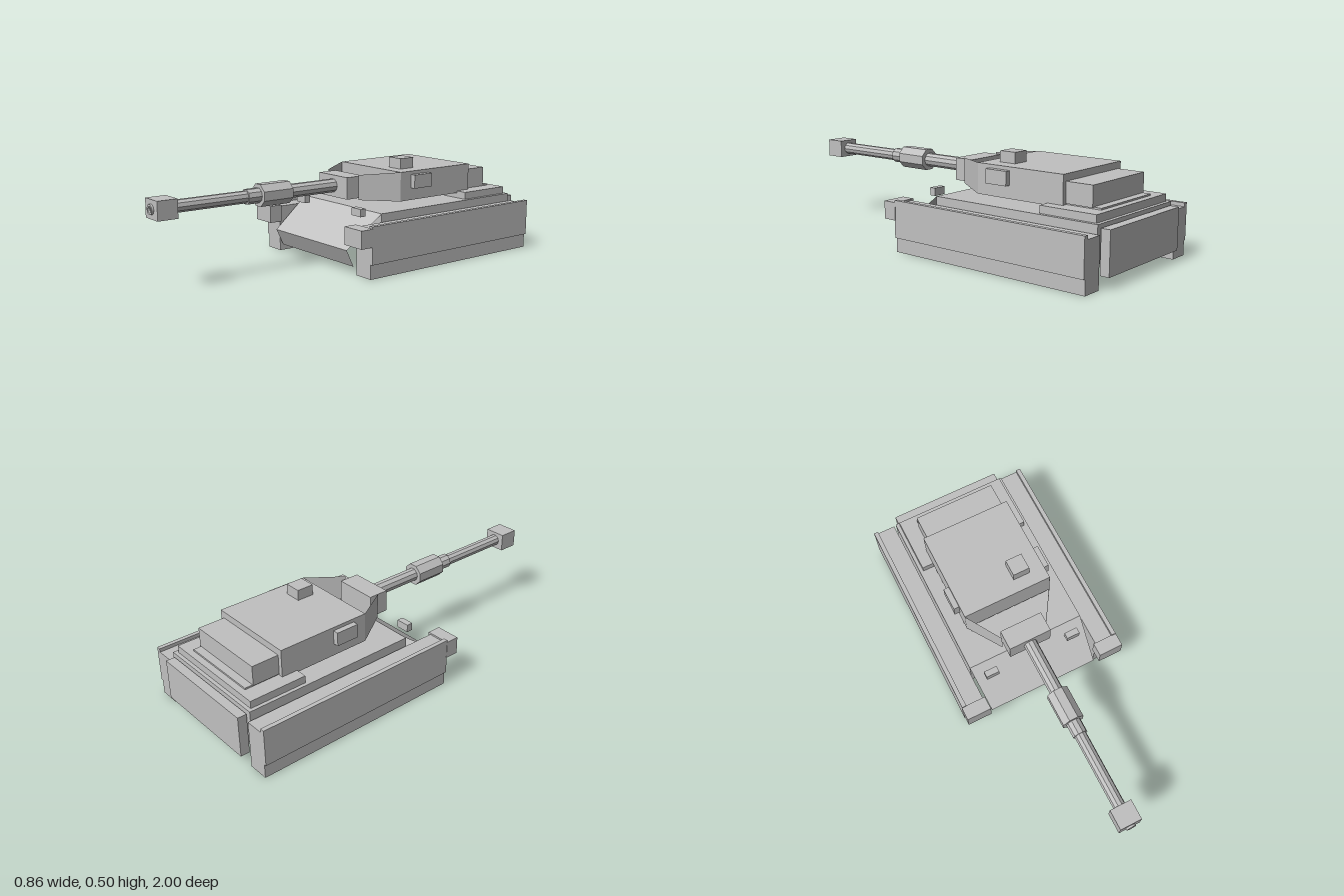
import * as THREE from 'three';

export function createModel() {
  const model = new THREE.Group();
  model.name = 'tank';
  const grey = new THREE.MeshStandardMaterial({ color: 0xc0c0c0, flatShading: true, side: THREE.DoubleSide });
  grey.name = 'grey';

  function add(name, geometry) {
    const mesh = new THREE.Mesh(geometry, grey);
    mesh.name = name;
    model.add(mesh);
    return mesh;
  }

  // Box from its low and high limits on each axis
  function box(name, x0, x1, y0, y1, z0, z1) {
    const mesh = add(name, new THREE.BoxGeometry(Math.abs(x1 - x0), y1 - y0, z1 - z0));
    mesh.position.set((x0 + x1) / 2, (y0 + y1) / 2, (z0 + z1) / 2);
  }

  // Flat plate from four corners, counter-clockwise from outside
  function plate(name, a, b, c, d) {
    const g = new THREE.BufferGeometry();
    g.setAttribute('position', new THREE.Float32BufferAttribute([a, b, c, a, c, d].flat(), 3));
    g.computeVertexNormals();
    add(name, g);
  }

  // Gun section along z
  const gunY = 0.377;
  function tube(name, r, z0, z1, sides) {
    const g = new THREE.CylinderGeometry(r, r, z1 - z0, sides);
    g.rotateY(Math.PI / sides);
    g.rotateX(Math.PI / 2);
    add(name, g).position.set(0, gunY, (z0 + z1) / 2);
  }

  // Hull
  box('hull', -0.308, 0.308, 0.105, 0.275, -0.95, -0.058);
  box('rearPlate', -0.29, 0.29, 0.055, 0.258, -1, -0.955);
  box('engineDeck', -0.29, 0.29, 0.275, 0.311, -0.932, -0.642);
  box('rearDeckPlate', -0.205, 0.205, 0.311, 0.319, -0.9, -0.66);
  plate('glacis', [-0.29, 0.121, 0.14], [0.29, 0.121, 0.14], [0.308, 0.275, -0.058], [-0.308, 0.275, -0.058]);
  plate('lowerFrontPlate', [-0.29, 0.036, 0.098], [0.29, 0.036, 0.098], [0.29, 0.121, 0.14], [-0.29, 0.121, 0.14]);

  // Turret
  box('turret', -0.232, 0.232, 0.301, 0.447, -0.723, -0.247);
  box('turretBustle', -0.21, 0.21, 0.316, 0.414, -0.86, -0.723);
  box('cupola', 0.067, 0.153, 0.447, 0.5, -0.402, -0.315);
  box('mantlet', -0.11, 0.11, 0.32, 0.429, -0.108, -0.005);
  plate('leftCheek', [0.12, 0.312, -0.07], [0.232, 0.301, -0.247], [0.232, 0.447, -0.247], [0.12, 0.437, -0.07]);
  plate('rightCheek', [-0.232, 0.301, -0.247], [-0.12, 0.312, -0.07], [-0.12, 0.437, -0.07], [-0.232, 0.447, -0.247]);

  // Gun
  tube('barrelBase', 0.034, -0.03, 0.28, 10);
  tube('barrelSleeve', 0.037, 0.28, 0.51, 10);
  tube('barrel', 0.03, 0.5, 0.9, 10);
  tube('boreEvacuator', 0.057, 0.275, 0.44, 8);
  box('muzzleBrake', -0.055, 0.055, 0.332, 0.421, 0.89, 0.99);

  // Hollow muzzle tip
  const ring = new THREE.Shape().absarc(0, 0, 0.024, 0, Math.PI * 2);
  ring.holes.push(new THREE.Path().absarc(0, 0, 0.014, 0, Math.PI * 2, true));
  add('muzzle', new THREE.ExtrudeGeometry(ring, { depth: 0.012, bevelEnabled: false, curveSegments: 10 }))
    .position.set(0, gunY, 0.988);

  // Mirrored parts
  for (const [side, s] of [['left', 1], ['right', -1]]) {
    box(side + 'Track', s * 0.315, s * 0.417, 0, 0.235, -0.967, 0.1);
    box(side + 'Skirt', s * 0.406, s * 0.428, 0.071, 0.253, -0.967, 0.1);
    box(side + 'FrontFender', s * 0.304, s * 0.43, 0.156, 0.243, 0.097, 0.166);
    box(side + 'Headlight', s * 0.189, s * 0.257, 0.261, 0.299, -0.002, 0.03);
    box(side + 'TurretBox', s * 0.23, s * 0.26, 0.362, 0.43, -0.433, -0.315);
  }
  return model;
}
